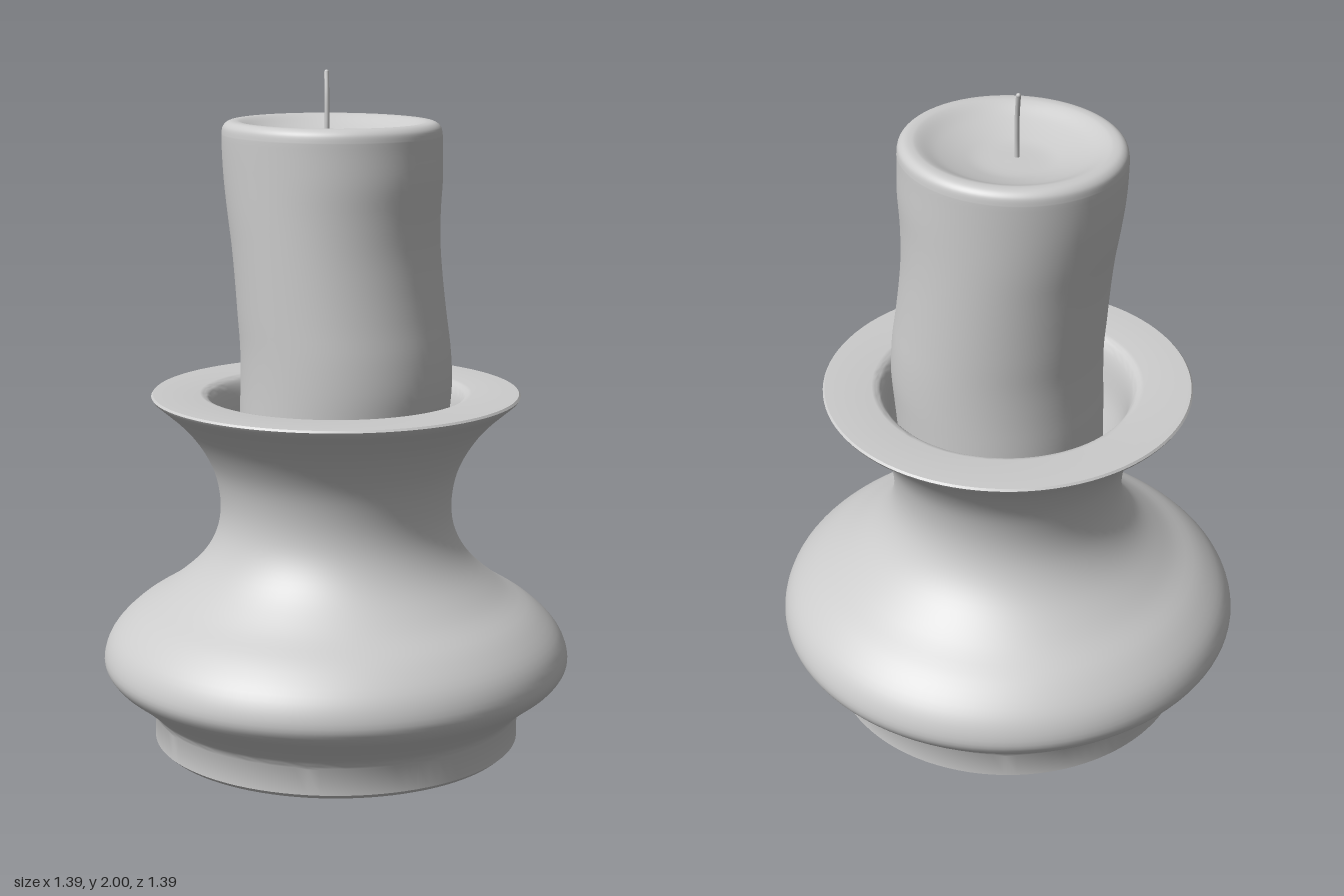
import * as THREE from 'three';
import { mergeVertices, toCreasedNormals } from 'three/addons/utils/BufferGeometryUtils.js';

const material = new THREE.MeshStandardMaterial({ color: 0xcccccc });
const toPoints = (pairs) => pairs.map(([x, y]) => new THREE.Vector2(x, y));

function addMesh(group, name, geometry) {
  const mesh = new THREE.Mesh(geometry, material);
  mesh.name = name;
  group.add(mesh);
}

// Turned holder: stepped foot, round belly, narrow neck, flared lip and a well
function holderGeometry() {
  const foot = toPoints([[0, 0], [0.53, 0], [0.546, 0.014]]);
  const body = new THREE.SplineCurve(toPoints([
    [0.546, 0.09], [0.562, 0.12], [0.62, 0.172], [0.675, 0.217], [0.695, 0.265],
    [0.67, 0.335], [0.6, 0.405], [0.5, 0.47], [0.41, 0.55], [0.36, 0.63],
    [0.343, 0.715], [0.355, 0.81], [0.39, 0.89], [0.45, 0.97], [0.538, 1.048],
  ])).getPoints(60);
  const lip = toPoints([[0.543, 1.056], [0.538, 1.062], [0.4, 1.062]]);
  const well = new THREE.SplineCurve(toPoints([
    [0.39, 1.06], [0.372, 1.045], [0.356, 1.0], [0.34, 0.9], [0.315, 0.82],
  ])).getPoints(14);
  const profile = [...foot, ...body, ...lip, ...well, new THREE.Vector2(0, 0.81)];
  return toCreasedNormals(new THREE.LatheGeometry(profile, 96), 0.6);
}

// Slumped candle: a turned pillar whose width and centre drift with height
function candleGeometry() {
  const r = 0.303, bottom = 0.82, top = 1.8;
  const side = Array.from({ length: 41 }, (_, i) =>
    new THREE.Vector2(r, bottom + (top - bottom) * i / 40));
  const rim = new THREE.SplineCurve(toPoints([
    [r, 1.815], [0.299, 1.838], [0.285, 1.852], [0.265, 1.855], [0.245, 1.85],
    [0.2, 1.828], [0.14, 1.808], [0.085, 1.797], [0, 1.796],
  ])).getPoints(40);
  rim[rim.length - 1].x = 0;
  const lathe = new THREE.LatheGeometry([new THREE.Vector2(0, bottom), ...side, ...rim], 72);

  // Drift at even heights: centre offset and half-width along x
  const drift = new THREE.SplineCurve(toPoints([
    [0.02, 0.303], [0.025, 0.305], [0.03, 0.31], [0.036, 0.313], [0.033, 0.31], [0.021, 0.306],
    [0.01, 0.303], [0, 0.304], [-0.008, 0.313], [-0.011, 0.324], [-0.015, 0.326],
  ]));
  const pos = lathe.attributes.position;
  for (let i = 0; i < pos.count; i++) {
    const t = THREE.MathUtils.clamp((pos.getY(i) - 0.8) / 1.0, 0, 1);
    const d = drift.getPoint(t);
    pos.setX(i, d.x + pos.getX(i) * d.y / r);
  }
  lathe.deleteAttribute('uv');
  lathe.deleteAttribute('normal');
  const geometry = mergeVertices(lathe, 1e-5);
  geometry.computeVertexNormals();
  return geometry;
}

// Thin bent wick with a rounded tip
function wickGeometry() {
  const path = new THREE.CatmullRomCurve3([
    new THREE.Vector3(-0.016, 1.78, 0.024),
    new THREE.Vector3(-0.016, 1.86, 0.022),
    new THREE.Vector3(-0.02, 1.93, 0.017),
    new THREE.Vector3(-0.03, 1.994, 0.004),
  ]);
  return new THREE.TubeGeometry(path, 20, 0.007, 10);
}

export function createModel() {
  const group = new THREE.Group();
  group.name = 'candleInHolder';
  addMesh(group, 'holder', holderGeometry());
  addMesh(group, 'candle', candleGeometry());
  addMesh(group, 'wick', wickGeometry());
  const tip = new THREE.SphereGeometry(0.007, 10, 8);
  tip.translate(-0.03, 1.993, 0.004);
  addMesh(group, 'wickTip', tip);
  return group;
}
